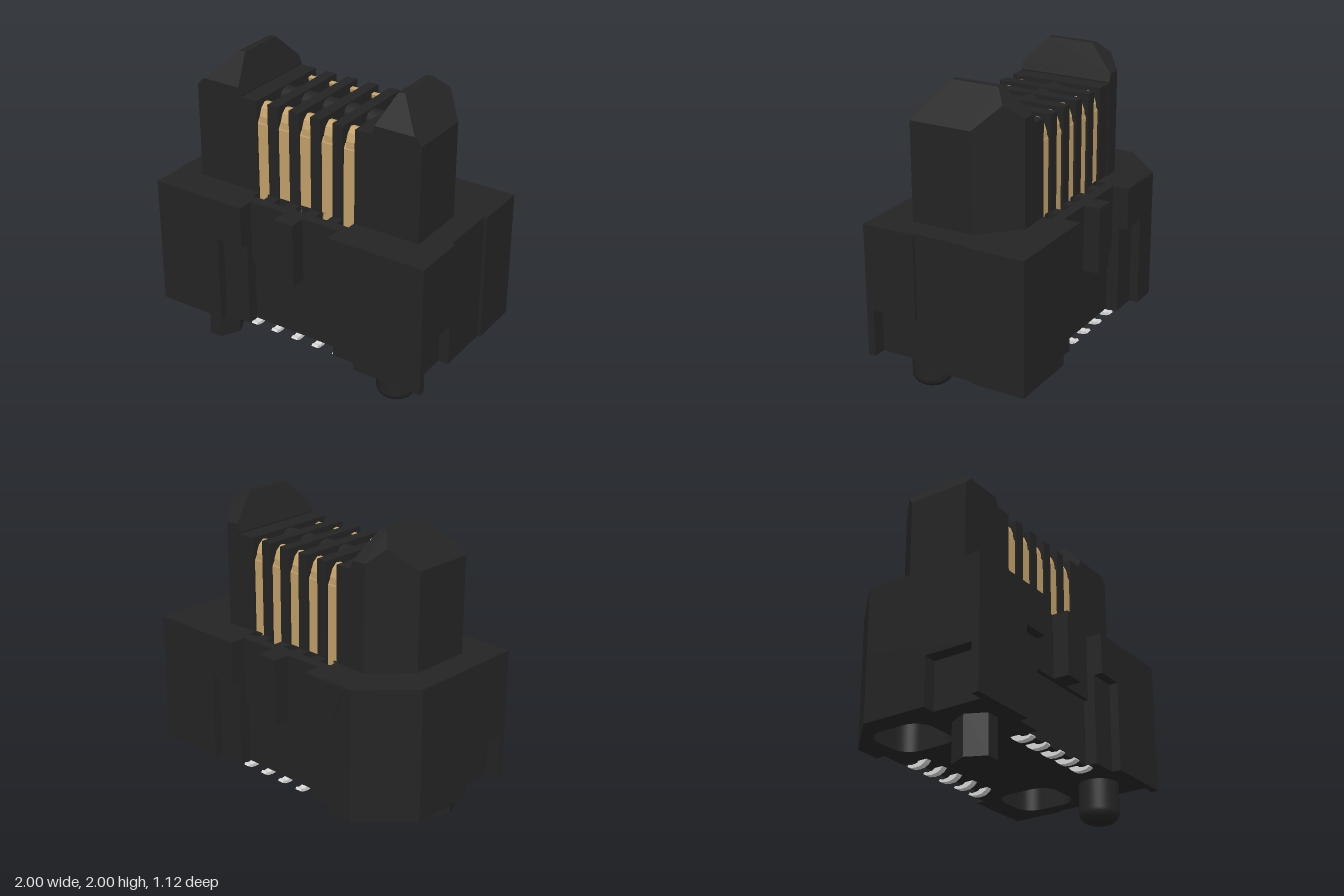
import * as THREE from 'three';
import { ConvexGeometry } from 'three/addons/geometries/ConvexGeometry.js';

const black = new THREE.MeshStandardMaterial({ name: 'black plastic', color: 0x242424 });
const gold = new THREE.MeshStandardMaterial({ name: 'gold', color: 0xc4a168 });
const silver = new THREE.MeshStandardMaterial({ name: 'silver', color: 0xd8d8d8 });

const pitch = [-0.32, -0.16, 0, 0.16, 0.32];
const slot = 0.0425;

export function createModel() {
  const model = new THREE.Group();
  model.name = 'boardConnector';

  const add = (name, geometry, material, parent = model) => {
    const mesh = new THREE.Mesh(geometry, material);
    mesh.name = name;
    parent.add(mesh);
    return mesh;
  };
  const box = (name, x0, x1, y0, y1, z0, z1, material = black) =>
    add(name, new THREE.BoxGeometry(x1 - x0, y1 - y0, z1 - z0)
      .translate((x0 + x1) / 2, (y0 + y1) / 2, (z0 + z1) / 2), material);

  // Plan outline of [x, z] points raised from y0 to y1
  const toShape = (pts) => new THREE.Shape(pts.map(([x, z]) => new THREE.Vector2(x, -z)));
  const slab = (name, pts, y0, y1, holes = []) => {
    const shape = toShape(pts);
    shape.holes = holes;
    const geo = new THREE.ExtrudeGeometry(shape, { depth: y1 - y0, bevelEnabled: false, curveSegments: 8 });
    return add(name, geo.rotateX(-Math.PI / 2).translate(0, y0, 0), black);
  };
  // Side profile of [z, y] points with a width along x
  const sideProfile = (pts, width) => new THREE.ExtrudeGeometry(
    new THREE.Shape(pts.map(([z, y]) => new THREE.Vector2(z, y))), { depth: width, bevelEnabled: false })
    .rotateY(-Math.PI / 2).translate(width / 2, 0, 0);

  // Base outline: stepped front and back, clipped back corner, shallow side recess
  const baseOutline = ({ wide, rib, depth, sideNotch }) => {
    const half = wide ? [[-0.52, 0.56], [-0.52, 0.5], [-0.33, 0.5]] : [[-0.33, 0.56]];
    half.push([-0.33, depth]);
    if (rib) half.push([-0.07, depth], [-0.07, 0.56]);
    const front = [...half, ...half.map(([x, z]) => [-x, z]).reverse()];
    const back = front.map(([x, z]) => [x, -z]).reverse();
    const right = sideNotch
      ? [[1, 0.51], [0.91, 0.51], [0.91, 0.18], [0.98, 0.18]]
      : [[1, 0.2], [0.98, 0.2]];
    const left = sideNotch ? [[-1, 0.18], [-0.91, 0.18], [-0.91, 0.51], [-1, 0.51]] : [];
    return [[-1, 0.56], ...front, [1, 0.56], ...right, [0.98, -0.2], [1, -0.2], [1, -0.56],
      ...back, [-0.7, -0.56], [-1, -0.26], ...left];
  };

  // Rounded relief pockets under the base
  const pocket = (cx, cz, hx, hz, r) => {
    const p = new THREE.Path(), cy = -cz;
    p.moveTo(cx - hx + r, cy - hz);
    [[1, -1, -90], [1, 1, 0], [-1, 1, 90], [-1, -1, 180]].forEach(([sx, sy, a]) =>
      p.absarc(cx + sx * (hx - r), cy + sy * (hz - r), r, a * Math.PI / 180, (a + 90) * Math.PI / 180));
    return p;
  };
  // Small openings in the base top in front of each contact
  const openings = [];
  for (const x of pitch) for (const s of [-1, 1]) {
    openings.push(pocket(x, s * 0.345, slot, 0.035, 0.002));
  }

  slab('baseFoot', baseOutline({ wide: true, depth: 0.42, sideNotch: true }), 0.26, 0.575,
    [pocket(0.69, -0.19, 0.19, 0.21, 0.12), pocket(-0.66, -0.17, 0.19, 0.21, 0.12)]);
  slab('baseLower', baseOutline({ wide: true, depth: 0.42 }), 0.575, 0.7);
  slab('baseMiddle', baseOutline({ wide: true, rib: true, depth: 0.45 }), 0.7, 0.86);
  slab('baseUpper', baseOutline({ rib: true, depth: 0.45 }), 0.86, 1.14, openings);

  // Triangular orientation mark, on the top and the back
  slab('topMark', [[-0.63, -0.545], [-0.49, -0.545], [-0.56, -0.43]], 1.138, 1.143);
  const mark = new THREE.Shape([[-0.66, 1.13], [-0.56, 0.9], [-0.46, 1.13]].map((p) => new THREE.Vector2(...p)));
  add('backMark', new THREE.ExtrudeGeometry(mark, { depth: 0.006, bevelEnabled: false })
    .translate(0, 0, -0.564), black);

  // Guide towers with sloped peaks and a clipped back corner
  for (const s of [-1, 1]) {
    const points = [
      [0.48, 1.14, 0.32], [0.82, 1.14, 0.32], [0.82, 1.14, -0.1], [0.59, 1.14, -0.33], [0.48, 1.14, -0.33],
      [0.48, 1.78, 0.32], [0.498, 1.83, 0.32], [0.77, 1.83, 0.32], [0.82, 1.78, 0.32], [0.82, 1.78, -0.1],
      [0.684, 1.919, -0.236], [0.59, 1.83, -0.33], [0.498, 1.83, -0.33], [0.48, 1.78, -0.33],
      [0.605, 2, 0.16], [0.56, 2, 0.16], [0.605, 2, -0.16], [0.56, 2, -0.16],
    ].map(([x, y, z]) => new THREE.Vector3(s * x, y, z));
    add(s > 0 ? 'leftTower' : 'rightTower', new ConvexGeometry(points), black);
  }

  // Contact tongue: dividing fins, inner wall and rounded centre bar
  const edges = [-0.48, ...pitch.flatMap((x) => [x - slot, x + slot]), 0.48];
  for (let i = 0; i < edges.length; i += 2) {
    box('fin', edges[i], edges[i + 1], 1.14, 1.77, -0.325, 0.32);
  }
  box('tongueWall', -0.4, 0.4, 1.1, 1.58, -0.255, 0.255);
  box('centreWall', -0.4, 0.4, 1.5, 1.69, -0.07, 0.07);
  add('centreBar', new THREE.CylinderGeometry(0.07, 0.07, 0.8, 20)
    .rotateZ(Math.PI / 2).translate(0, 1.695, 0), black);

  // Gold contacts with curved tips, and silver solder tails
  const blade = sideProfile([[0.25, 0.87], [0.31, 0.87], [0.31, 1.62], [0.295, 1.65], [0.25, 1.65]], 0.083);
  const tip = sideProfile([[0.25, 1.6], [0.308, 1.6], [0.305, 1.67], [0.285, 1.72], [0.25, 1.75],
    [0.22, 1.745], [0.225, 1.72], [0.25, 1.68]], 0.058);
  const tail = sideProfile([[0.31, 0.262], [0.33, 0.24], [0.36, 0.224], [0.4, 0.22], [0.44, 0.225],
    [0.465, 0.238], [0.455, 0.25], [0.43, 0.243], [0.39, 0.248], [0.37, 0.265]], 0.045);
  for (const turn of [0, Math.PI]) {
    const row = new THREE.Group();
    row.name = turn ? 'backContacts' : 'frontContacts';
    row.rotation.y = turn;
    model.add(row);
    for (const x of pitch) {
      add('contactBlade', blade, gold, row).position.x = x;
      add('contactTip', tip, gold, row).position.x = x;
      add('solderTail', tail, silver, row).position.x = x;
    }
  }

  // Locating pegs: one round with a filleted end, one six-sided
  const profile = [[0, 0], [0.06, 0]];
  for (let i = 1; i <= 6; i++) {
    const a = (i / 6) * Math.PI / 2;
    profile.push([0.06 + 0.07 * Math.sin(a), 0.07 - 0.07 * Math.cos(a)]);
  }
  profile.push([0.13, 0.28]);
  add('roundPeg', new THREE.LatheGeometry(profile.map((p) => new THREE.Vector2(...p)), 32)
    .translate(0.68, 0, 0.3), black);
  slab('sixSidedPeg', [[-0.11, 0], [-0.045, 0.13], [0.045, 0.13], [0.11, 0], [0.045, -0.13], [-0.045, -0.13]]
    .map(([x, z]) => [x - 0.68, z + 0.3]), 0, 0.28);

  return model;
}
